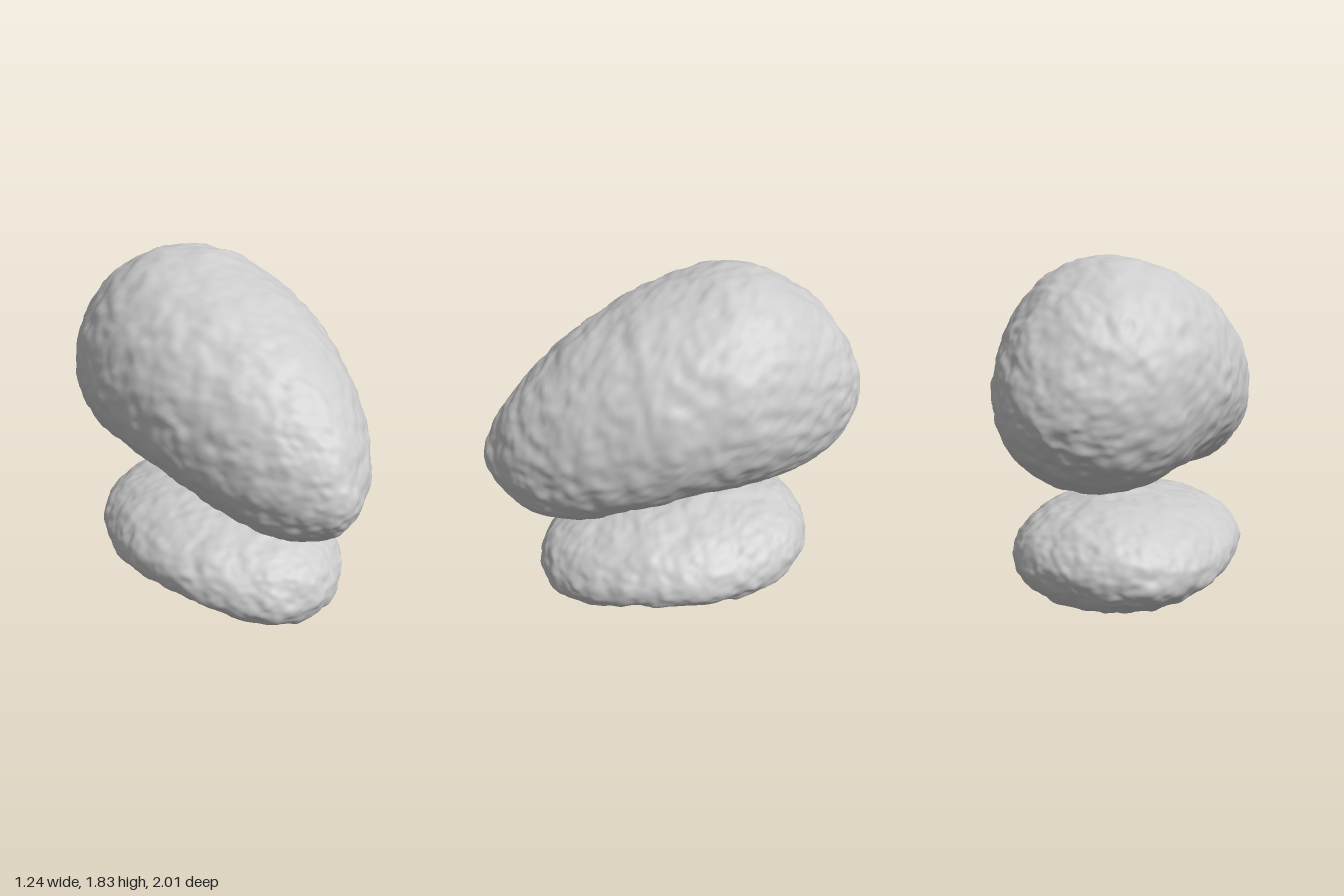
import * as THREE from 'three';

// Lump outlines, front to back: [z, bottom y, top y, right x, left x]
const UPPER = [
  [1.0, 0.9, 0.9, -0.06, -0.06], [0.96, 0.77, 1.04, -0.16, 0.06], [0.86, 0.67, 1.21, -0.265, 0.225],
  [0.73, 0.595, 1.36, -0.36, 0.345], [0.57, 0.572, 1.5, -0.445, 0.445], [0.33, 0.615, 1.645, -0.535, 0.545],
  [0.09, 0.67, 1.75, -0.6, 0.605], [-0.23, 0.685, 1.835, -0.615, 0.605], [-0.45, 0.68, 1.82, -0.575, 0.55],
  [-0.66, 0.72, 1.71, -0.49, 0.455], [-0.82, 0.815, 1.57, -0.355, 0.365], [-0.94, 0.96, 1.37, -0.18, 0.23],
  [-1.0, 1.16, 1.16, 0.04, 0.04],
];
const LOWER = [
  [0.755, 0.19, 0.19, 0, 0], [0.72, 0.085, 0.3, -0.17, 0.17], [0.65, 0.035, 0.38, -0.28, 0.28],
  [0.52, 0.014, 0.45, -0.39, 0.39], [0.34, 0.04, 0.508, -0.495, 0.495], [0.12, 0.043, 0.547, -0.565, 0.565],
  [-0.12, 0.015, 0.566, -0.583, 0.583], [-0.38, 0.015, 0.55, -0.525, 0.525], [-0.57, 0.065, 0.508, -0.415, 0.415],
  [-0.68, 0.145, 0.43, -0.28, 0.28], [-0.73, 0.22, 0.36, -0.15, 0.15], [-0.745, 0.29, 0.29, 0, 0],
];

// Seeded lattice noise, smoothly blended, range -1..1
function hash(x, y, z) {
  let h = Math.imul(x, 374761393) ^ Math.imul(y, 668265263) ^ Math.imul(z, 1274126177);
  h = Math.imul(h ^ (h >>> 13), 1103515245);
  h = Math.imul(h ^ (h >>> 15), 668265263);
  return ((h ^ (h >>> 16)) >>> 0) / 2147483647.5 - 1;
}
function noise(x, y, z) {
  const c = [x, y, z].map(Math.floor);
  const f = [x - c[0], y - c[1], z - c[2]].map((t) => t * t * (3 - 2 * t));
  let sum = 0;
  for (let i = 0; i < 8; i++) {
    const b = [i & 1, (i >> 1) & 1, i >> 2];
    const w = b.reduce((p, v, k) => p * (v ? f[k] : 1 - f[k]), 1);
    sum += w * hash(c[0] + b[0], c[1] + b[1], c[2] + b[2]);
  }
  return sum;
}

// Smooth outline sample at angle phi, where 0 is the front tip and PI the back tip
function sample(keys, phi, col) {
  let i = 0;
  while (i < keys.length - 2 && phi > keys[i + 1].phi) i++;
  const a = keys[i], b = keys[i + 1], d = b.phi - a.phi;
  const slope = (k) => {
    const p = keys[Math.max(k - 1, 0)], n = keys[Math.min(k + 1, keys.length - 1)];
    return (n.row[col] - p.row[col]) / (n.phi - p.phi);
  };
  const t = (phi - a.phi) / d, t2 = t * t, t3 = t2 * t;
  return (2 * t3 - 3 * t2 + 1) * a.row[col] + (t3 - 2 * t2 + t) * d * slope(i)
    + (3 * t2 - 2 * t3) * b.row[col] + (t3 - t2) * d * slope(i + 1);
}

// Closed loft of oval sections with a lumpy skin
function lumpGeometry(rows, rings = 170, sides = 180) {
  const z0 = rows[0][0], z1 = rows[rows.length - 1][0];
  const mid = (z0 + z1) / 2, half = (z0 - z1) / 2;
  const keys = rows.map((row) => ({ row, phi: Math.acos(THREE.MathUtils.clamp((row[0] - mid) / half, -1, 1)) }));
  const pos = [rows[0][3], rows[0][1], z0];
  for (let r = 1; r < rings; r++) {
    const phi = (Math.PI * r) / rings;
    const [bottom, top, xr, xl] = [1, 2, 3, 4].map((c) => sample(keys, phi, c));
    const belt = bottom + (top - bottom) * 0.46;
    for (let s = 0; s < sides; s++) {
      const a = (2 * Math.PI * s) / sides, sn = Math.sin(a);
      pos.push((xl + xr) / 2 + ((xl - xr) / 2) * Math.cos(a),
        belt + sn * (sn > 0 ? top - belt : belt - bottom), mid + half * Math.cos(phi));
    }
  }
  const end = rows[rows.length - 1], last = 1 + (rings - 1) * sides;
  pos.push(end[3], end[1], z1);

  const index = [];
  for (let s = 0; s < sides; s++) {
    const n = (s + 1) % sides;
    index.push(0, 1 + s, 1 + n);
    for (let r = 0; r < rings - 2; r++) {
      const a = 1 + r * sides, b = a + sides;
      index.push(a + s, b + s, b + n, a + s, b + n, a + n);
    }
    index.push(last - sides + s, last, last - sides + n);
  }
  const geo = new THREE.BufferGeometry();
  geo.setAttribute('position', new THREE.Float32BufferAttribute(pos, 3));
  geo.setIndex(index);
  geo.computeVertexNormals();

  // Push the skin in and out along its normals: soft bumps, finer dimples
  const p = geo.attributes.position, nrm = geo.attributes.normal;
  const v = new THREE.Vector3(), d = new THREE.Vector3();
  for (let i = 0; i < p.count; i++) {
    v.fromBufferAttribute(p, i);
    d.fromBufferAttribute(nrm, i);
    const bump = 0.009 * noise(v.x * 13, v.y * 16, v.z * 13)
      + 0.005 * noise(v.x * 26 + 7, v.y * 30, v.z * 26)
      + 0.005 * noise(v.x * 5, v.y * 5 + 3, v.z * 5);
    v.addScaledVector(d, bump);
    p.setXYZ(i, v.x, Math.max(v.y, 0), v.z);
  }
  geo.computeVertexNormals();
  return geo;
}

export function createModel() {
  const group = new THREE.Group();
  const stone = new THREE.MeshStandardMaterial({ color: 0xcccccc });
  stone.name = 'pale grey';
  for (const [name, rows] of [['upperLump', UPPER], ['lowerLump', LOWER]]) {
    const mesh = new THREE.Mesh(lumpGeometry(rows), stone);
    mesh.name = name;
    group.add(mesh);
  }
  return group;
}
